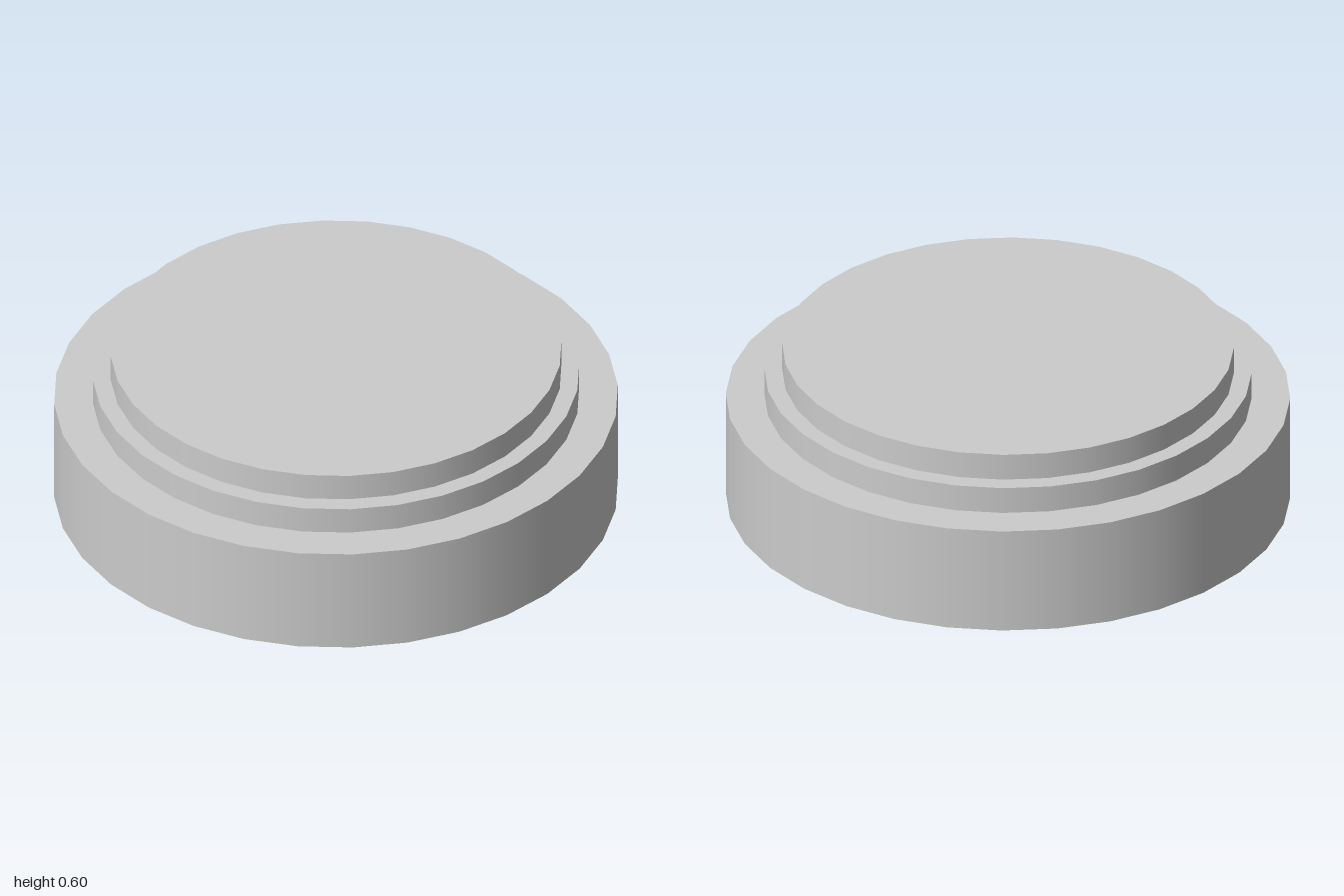
import * as THREE from 'three';

export function createModel() {
  const group = new THREE.Group();
  group.name = 'steppedDisc';
  const material = new THREE.MeshStandardMaterial({ color: 0xcccccc });

  // Stacked round tiers: name, radius, bottom, top
  const tiers = [
    ['base', 1, 0, 0.4],
    ['middleStep', 0.863, 0.4, 0.5],
    ['topPlate', 0.8, 0.5, 0.6],
  ];
  for (const [name, radius, bottom, top] of tiers) {
    const tier = new THREE.Mesh(new THREE.CylinderGeometry(radius, radius, top - bottom, 32), material);
    tier.name = name;
    tier.position.y = (bottom + top) / 2;
    group.add(tier);
  }
  return group;
}
